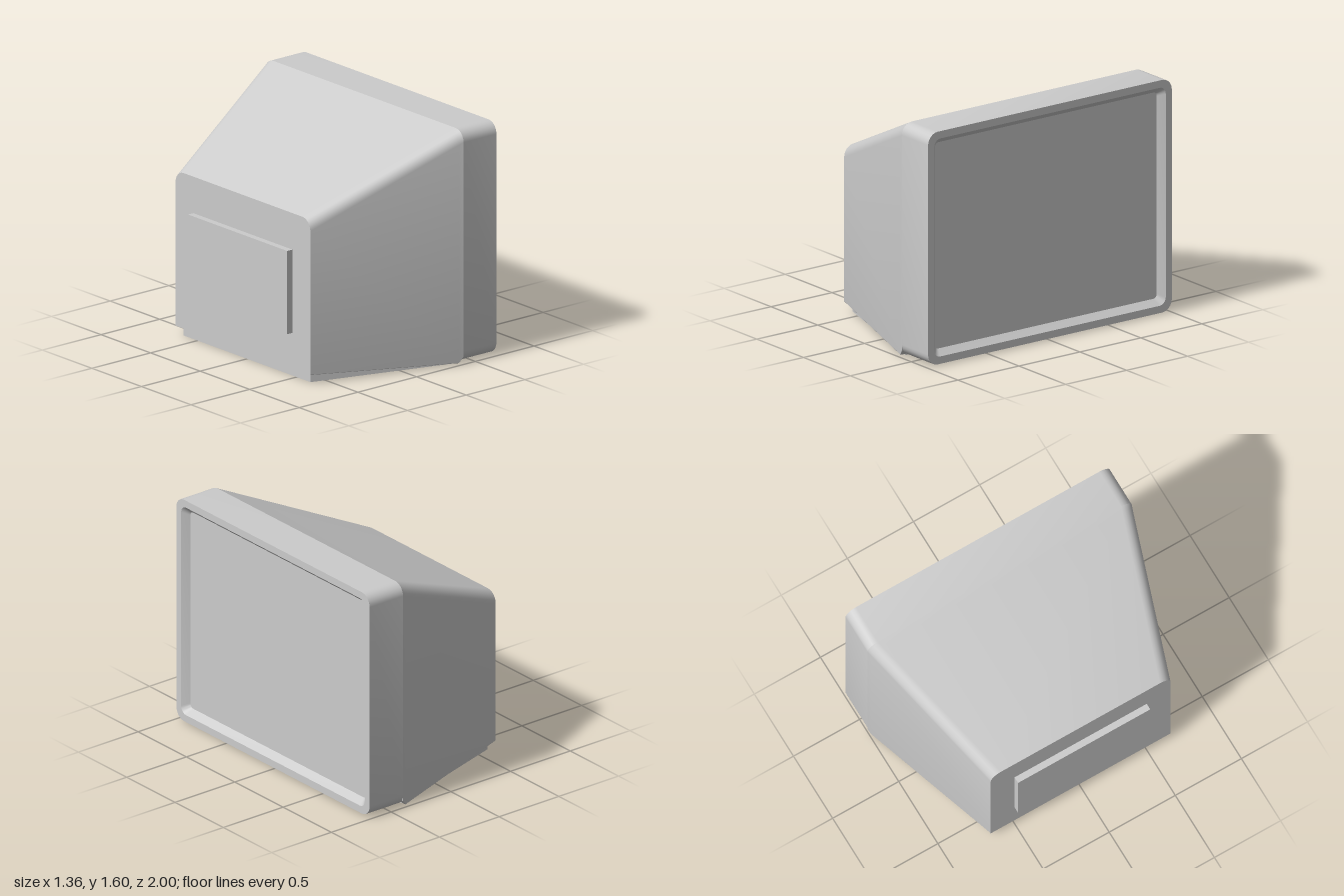
import * as THREE from 'three';
import { toCreasedNormals } from 'three/addons/utils/BufferGeometryUtils.js';

const material = new THREE.MeshStandardMaterial({ color: 0xcccccc });

// Cross-section across x: rounded rectangle with its own top and bottom corner radii
function section({ x, halfZ, y0, y1, rTop, rBottom }) {
  const corners = [
    [halfZ - rBottom, y0 + rBottom, rBottom, -Math.PI / 2],
    [halfZ - rTop, y1 - rTop, rTop, 0],
    [rTop - halfZ, y1 - rTop, rTop, Math.PI / 2],
    [rBottom - halfZ, y0 + rBottom, rBottom, Math.PI],
  ];
  const points = [];
  for (const [z, y, r, start] of corners) {
    for (let i = 0; i <= 6; i++) {
      const a = start + (i / 6) * Math.PI / 2;
      points.push([x, y + r * Math.sin(a), z + r * Math.cos(a)]);
    }
  }
  return points;
}

// Skin through the sections in order, closed at both ends
function loft(specs) {
  const rings = specs.map(section);
  const n = rings[0].length;
  const positions = rings.flat(2);
  const index = [];
  for (let r = 0; r < rings.length - 1; r++) {
    for (let i = 0; i < n; i++) {
      const a = r * n + i, b = r * n + (i + 1) % n;
      index.push(a, a + n, b, b, a + n, b + n);
    }
  }
  const last = (rings.length - 1) * n;
  for (let i = 1; i < n - 1; i++) {
    index.push(0, i, i + 1);
    index.push(last, last + i + 1, last + i);
  }
  const geometry = new THREE.BufferGeometry();
  geometry.setAttribute('position', new THREE.Float32BufferAttribute(positions, 3));
  geometry.setIndex(index);
  return toCreasedNormals(geometry, 0.5);
}

export function createModel() {
  const model = new THREE.Group();
  const add = (name, geometry) => {
    const mesh = new THREE.Mesh(geometry, material);
    mesh.name = name;
    model.add(mesh);
    return mesh;
  };

  // Wide front slab: rounded long edges, a narrow lip and a shallow sunken screen
  const slab = (x, inset, r) => ({
    x, halfZ: 1 - inset, y0: 0.012 + inset, y1: 1.6 - inset, rTop: r, rBottom: r,
  });
  add('frontSlab', loft([
    slab(0.4, 0, 0.08), slab(0.68, 0, 0.08), slab(0.68, 0.05, 0.05), slab(0.635, 0.09, 0.03),
  ]));

  // Tapering housing: rounded top edges, square bottom edges
  add('taperedHousing', loft([
    { x: -0.635, halfZ: 0.68, y0: 0.065, y1: 1.13, rTop: 0.08, rBottom: 0.004 },
    { x: 0.37, halfZ: 0.99, y0: 0.012, y1: 1.586, rTop: 0.08, rBottom: 0.004 },
    { x: 0.4, halfZ: 1, y0: 0.05, y1: 1.6, rTop: 0.08, rBottom: 0.004 },
  ]));

  // Shallow trapezoid base under the housing
  const outline = new THREE.Shape([
    new THREE.Vector2(-0.6, -0.64), new THREE.Vector2(0.36, -0.94),
    new THREE.Vector2(0.36, 0.94), new THREE.Vector2(-0.6, 0.64),
  ]);
  const base = new THREE.ExtrudeGeometry(outline, { depth: 0.066, bevelEnabled: false });
  base.rotateX(-Math.PI / 2);
  add('base', base);

  // Raised panel on the narrow end
  add('rearPanel', new THREE.BoxGeometry(0.055, 0.57, 1)).position.set(-0.6525, 0.595, 0);

  return model;
}
